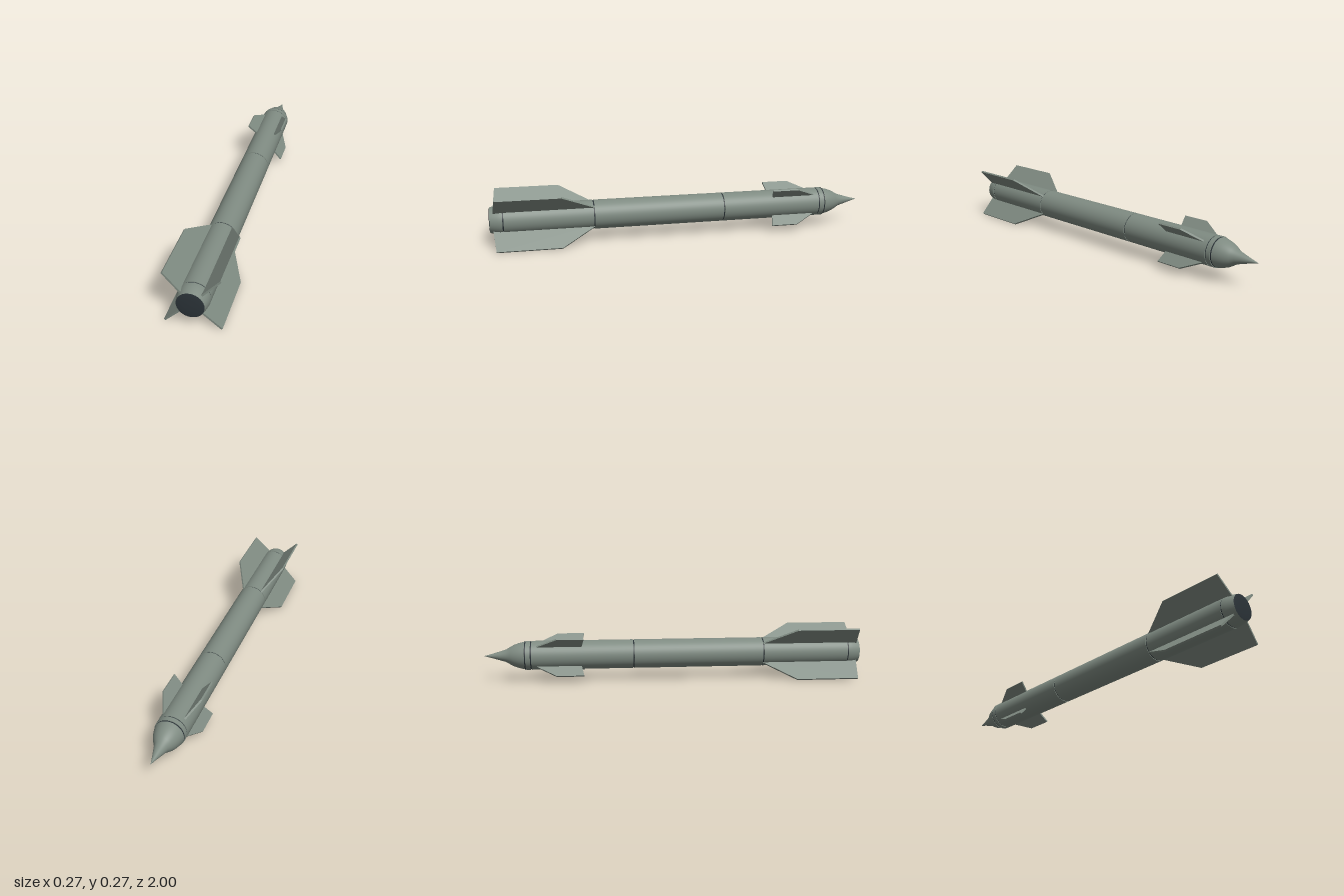
import * as THREE from 'three';

const R = 0.076; // body radius
const AXIS_Y = 0.136; // height of the long axis

export function createModel() {
  const model = new THREE.Group();
  const body = new THREE.Group();
  body.name = 'rocket';
  body.position.y = AXIS_Y;
  model.add(body);

  const paint = new THREE.MeshStandardMaterial({ color: 0x7f8b82 });
  const dark = new THREE.MeshStandardMaterial({ color: 0x2b3338 });

  const add = (name, geometry, material, parent = body) => {
    const mesh = new THREE.Mesh(geometry, material);
    mesh.name = name;
    parent.add(mesh);
    return mesh;
  };

  // Turned part along z from [radius, z] points, nose to tail
  const turned = (name, points, material = paint) => {
    const profile = points.map(([r, z]) => new THREE.Vector2(r, z));
    return add(name, new THREE.LatheGeometry(profile, 48).rotateX(Math.PI / 2), material);
  };

  // Nose: slender spike flowing into a rounded shoulder
  turned('noseCone', [
    [0, -1], [0.012, -0.955], [0.024, -0.915], [0.033, -0.885], [0.045, -0.865],
    [0.056, -0.845], [0.065, -0.82], [0.07, -0.8], [0.073, -0.785],
  ]);

  // Body tubes, parted by shallow grooves
  const groove = 0.003;
  const joints = [-0.785, -0.755, -0.22, 0.47, 0.93];
  const names = ['noseCollar', 'forwardTube', 'middleTube', 'rearTube'];
  names.forEach((name, i) => {
    turned(name, [[R, joints[i] + groove], [R, joints[i + 1] - groove]]);
  });
  joints.forEach((z) => {
    const a = z - groove, b = z + groove, r = R - 0.003;
    turned('seamFront', [[R, a], [r, a]]).material = paint;
    turned('seamFloor', [[r, a], [r, b]], dark);
    turned('seamBack', [[r, b], [R, b]]);
  });

  // Tail: rounded boat tail closed by a dark end cap
  turned('tailSection', [
    [R, 0.933], [0.0755, 0.945], [0.074, 0.957], [0.071, 0.972], [0.068, 0.985], [0.065, 0.996],
  ]);
  turned('exhaustCap', [[0.065, 0.996], [0.055, 0.998], [0.03, 0.9995], [0, 1]], dark);

  // Flat fin: outline of [radius, z], extruded to an even thickness
  const finGeometry = (outline) => {
    const t = 0.009;
    const shape = new THREE.Shape(outline.map(([r, z]) => new THREE.Vector2(r, z)));
    return new THREE.ExtrudeGeometry(shape, { depth: t, bevelEnabled: false })
      .translate(0, 0, -t / 2)
      .rotateX(Math.PI / 2);
  };
  const finSets = {
    tailFin: [[0.06, 0.445], [0.187, 0.64], [0.187, 0.968], [0.06, 0.98]],
    forwardFin: [[0.06, -0.75], [0.076, -0.725], [0.137, -0.62], [0.137, -0.48], [0.06, -0.495]],
  };

  // Four of each, set in an X around the axis
  for (const [name, outline] of Object.entries(finSets)) {
    const geometry = finGeometry(outline);
    const set = new THREE.Group();
    set.name = name + 's';
    body.add(set);
    for (let i = 0; i < 4; i++) {
      add(name, geometry, paint, set).rotation.z = Math.PI / 4 + (i * Math.PI) / 2;
    }
  }

  return model;
}
